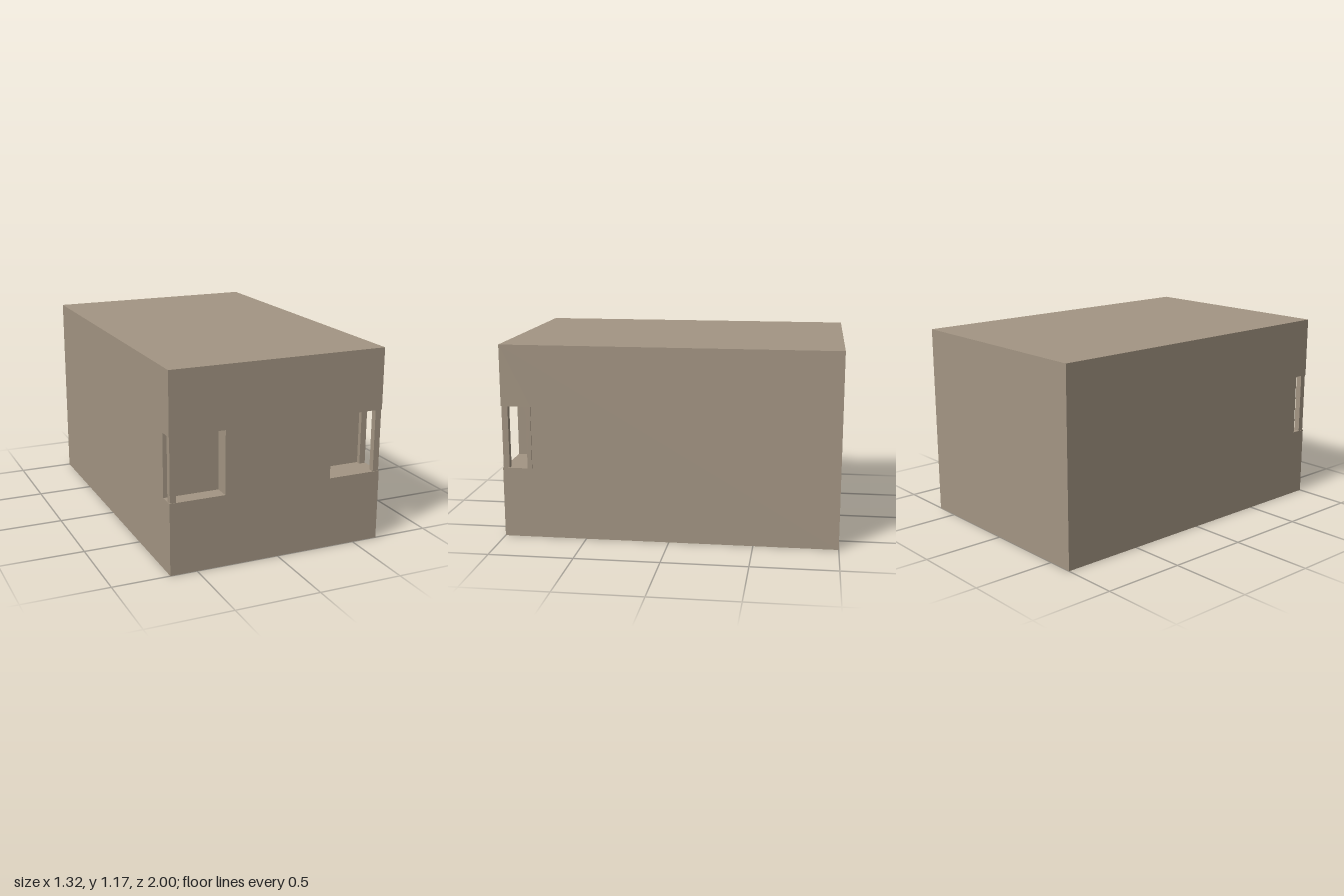
import * as THREE from 'three';
import { mergeGeometries } from 'three/addons/utils/BufferGeometryUtils.js';

const W = 0.66, H = 1.167, L = 1;      // half width, height, half length
const Y0 = 0.425, Y1 = 0.8, XI = 0.33; // recess sill, head and inner wall
const DEPTH = { right: 0.82, left: 0.905 }; // z of each recess's back wall

// Flat polygon placed in space by a mapping, facing along the given normal
function panel(points, map, normal) {
  const flat = points.map(([u, v]) => new THREE.Vector2(u, v));
  const corners = points.map(([u, v]) => new THREE.Vector3(...map(u, v)));
  const n = new THREE.Vector3(...normal);
  const pos = [];
  for (const [a, b, c] of THREE.ShapeUtils.triangulateShape(flat, [])) {
    const [A, B, C] = [corners[a], corners[b], corners[c]];
    const facing = B.clone().sub(A).cross(C.clone().sub(A)).dot(n);
    for (const p of facing > 0 ? [A, B, C] : [A, C, B]) pos.push(p.x, p.y, p.z);
  }
  const g = new THREE.BufferGeometry();
  g.setAttribute('position', new THREE.Float32BufferAttribute(pos, 3));
  g.computeVertexNormals();
  return g;
}

const rect = (u0, v0, u1, v1) => [[u0, v0], [u1, v0], [u1, v1], [u0, v1]];
const atX = x => (u, v) => [x, v, u];
const atY = y => (u, v) => [u, y, v];
const atZ = z => (u, v) => [u, v, z];

export function createModel() {
  const group = new THREE.Group();
  const material = new THREE.MeshStandardMaterial({ color: 0xa39583, flatShading: true });
  const add = (name, geometry) => {
    const mesh = new THREE.Mesh(geometry, material);
    mesh.name = name;
    group.add(mesh);
    return mesh;
  };

  // Outer shell, its front notched at both corners
  add('shell', mergeGeometries([
    panel(rect(-W, -L, W, L), atY(0), [0, -1, 0]),
    panel(rect(-W, -L, W, L), atY(H), [0, 1, 0]),
    panel(rect(-W, 0, W, H), atZ(-L), [0, 0, -1]),
    panel([[-W, 0], [W, 0], [W, Y0], [XI, Y0], [XI, Y1], [W, Y1],
      [W, H], [-W, H], [-W, Y1], [-XI, Y1], [-XI, Y0], [-W, Y0]], atZ(L), [0, 0, 1]),
  ]));

  for (const [side, s] of [['right', 1], ['left', -1]]) {
    const d = DEPTH[side], end = side === 'right' ? 'positive' : 'negative';
    // Side wall with its corner notch
    add(`${end}XSideWall`, panel([[-L, 0], [L, 0], [L, Y0], [d, Y0], [d, Y1], [L, Y1], [L, H], [-L, H]],
      atX(s * W), [s, 0, 0]));
    // Corner recess: sill, head, inner wall and back wall
    add(`${end}XRecess`, mergeGeometries([
      panel(rect(s * XI, d, s * W, L), atY(Y0), [0, 1, 0]),
      panel(rect(s * XI, d, s * W, L), atY(Y1), [0, -1, 0]),
      panel(rect(d, Y0, L, Y1), atX(s * XI), [s, 0, 0]),
      panel(rect(s * XI, Y0, s * W, Y1), atZ(d), [0, 0, 1]),
    ]));
    // Slim upright, set in a hair from the wall faces
    const upright = (name, z0, z1) => {
      const post = add(name, new THREE.BoxGeometry(0.037, Y1 - Y0, z1 - z0));
      post.position.set(s * 0.6385, (Y0 + Y1) / 2, (z0 + z1) / 2);
    };
    upright(`${end}XCornerPost`, 0.96, 0.997);
    if (side === 'right') upright(`${end}XRearJamb`, d + 0.003, 0.85);
  }
  return group;
}
